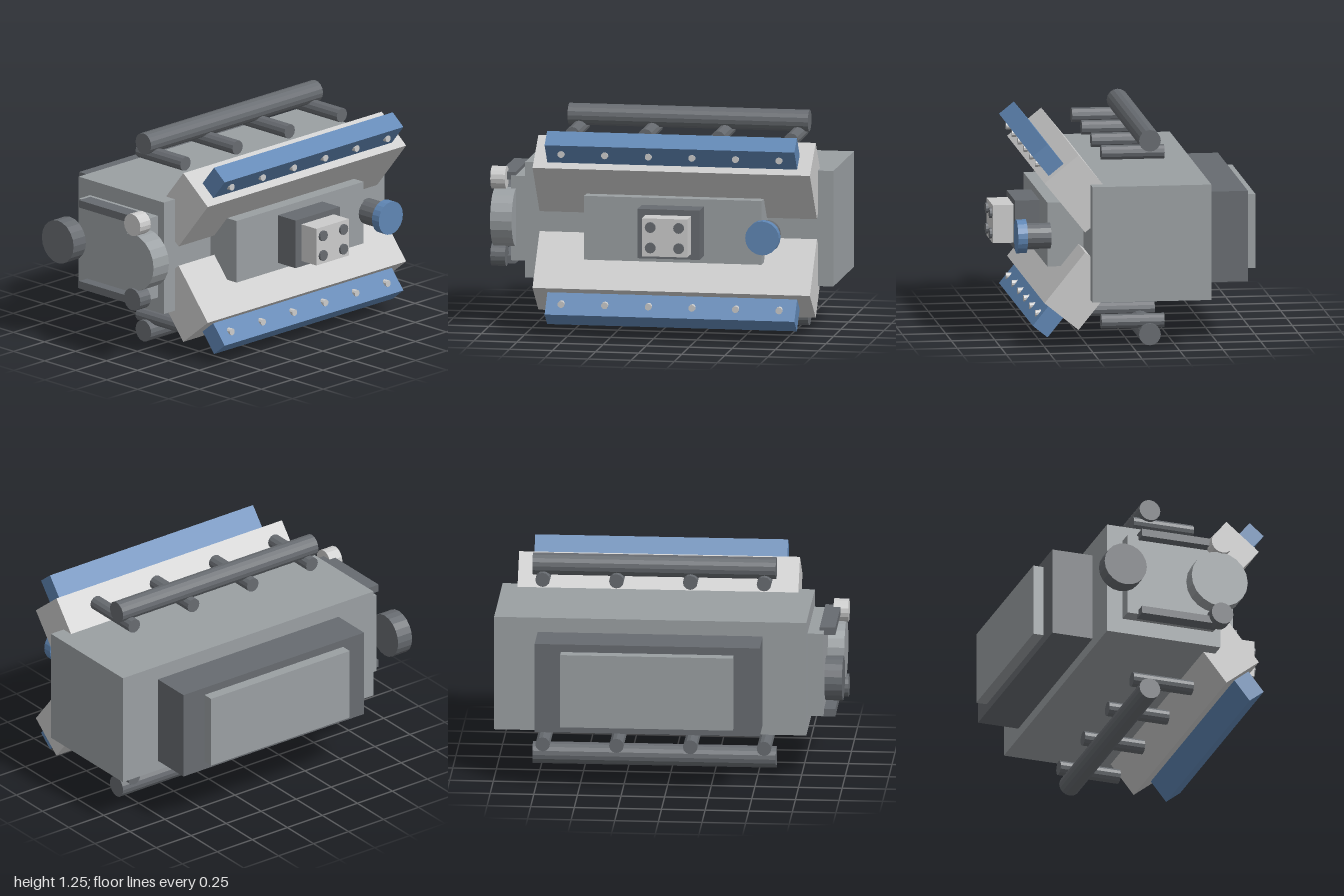
import * as THREE from 'three';

const material = (color) => new THREE.MeshStandardMaterial({ color, flatShading: true });

export function createModel() {
  const model = new THREE.Group();
  model.name = 'engine';
  const light = material(0xcccccc);
  const castIron = material(0x9a9fa2);
  const dark = material(0x676b70);
  const blue = material(0x5f86b4);
  const MID = 0.63; // height of the horizontal symmetry plane

  const add = (name, geometry, mat, x, y, z) => {
    const mesh = new THREE.Mesh(geometry, mat);
    mesh.name = name;
    mesh.position.set(x, y, z);
    model.add(mesh);
    return mesh;
  };
  // Box given by its limits on each axis
  const box = (name, mat, [x0, x1], [y0, y1], [z0, z1]) =>
    add(name, new THREE.BoxGeometry(x1 - x0, y1 - y0, z1 - z0), mat,
      (x0 + x1) / 2, (y0 + y1) / 2, (z0 + z1) / 2);
  // Cylinders along x and along z
  const rodX = (name, mat, r, x0, x1, y, z, sides = 16) =>
    add(name, new THREE.CylinderGeometry(r, r, x1 - x0, sides).rotateZ(Math.PI / 2), mat,
      (x0 + x1) / 2, y, z);
  const rodZ = (name, mat, r, x, y, z0, z1, sides = 12) =>
    add(name, new THREE.CylinderGeometry(r, r, z1 - z0, sides).rotateX(Math.PI / 2), mat,
      x, y, (z0 + z1) / 2);

  // Block and stepped oil pan
  box('engineBlock', castIron, [-0.79, 1], [0.295, 0.965], [-0.433, 0.253]);
  box('oilPan', dark, [-0.54, 0.75], [0.355, 0.88], [-0.677, -0.43]);
  box('oilPanSump', castIron, [-0.39, 0.6], [0.405, 0.835], [-0.74, -0.675]);

  // Two mirrored cylinder banks
  const tilt = 0.68;
  for (const s of [1, -1]) {
    const at = (y) => MID + s * (y - MID);
    add('cylinderHead', new THREE.BoxGeometry(1.61, 0.373, 0.253), light,
      0.105, at(0.9125), 0.3025).rotation.x = s * tilt;
    add('valveCover', new THREE.BoxGeometry(1.45, 0.148, 0.11), blue,
      0.105, at(1.098), 0.486).rotation.x = s * tilt;
    for (let i = 0; i < 6; i++) {
      rodZ('coverBolt', light, 0.02, -0.53 + i * 0.253, at(1.065), 0.5, 0.548, 10);
    }
    // Exhaust log with four runners
    rodX('exhaustManifold', dark, 0.063, -0.595, 0.8, at(1.192), -0.105);
    for (let i = 0; i < 4; i++) {
      rodZ('exhaustRunner', dark, 0.042, -0.53 + i * 0.423, at(1.12), -0.193, 0.17);
    }
    // Belt run beside the timing cover
    box('driveBelt', dark, [-0.945, -0.855], [at(0.873) - 0.022, at(0.873) + 0.022], [-0.275, 0.195]);
  }

  // Intake manifold, carburetor and its studs
  box('intakeManifold', castIron, [-0.41, 0.62], [0.445, 0.815], [0.25, 0.463]);
  box('carburetorBase', dark, [-0.075, 0.285], [0.487, 0.773], [0.46, 0.605]);
  box('carburetor', light, [-0.028, 0.235], [0.52, 0.74], [0.6, 0.726]);
  for (const x of [0.021, 0.186]) {
    for (const y of [0.571, 0.689]) rodZ('carburetorStud', dark, 0.031, x, y, 0.7, 0.74);
  }

  // Distributor
  rodZ('distributorBody', dark, 0.075, 0.655, MID, 0.453, 0.595, 16);
  rodZ('distributorCap', blue, 0.098, 0.655, MID, 0.592, 0.648, 20);

  // Timing cover and pulleys
  box('timingCover', castIron, [-0.88, -0.79], [0.385, 0.875], [-0.34, 0.207]);
  rodX('crankPulley', dark, 0.128, -1, -0.9, MID, -0.393, 20);
  rodX('waterPumpPulley', castIron, 0.17, -0.975, -0.85, 0.635, 0.185, 20);
  rodX('alternatorPulley', light, 0.066, -0.99, -0.905, 0.863, 0.197);
  rodX('idlerPulley', dark, 0.066, -0.99, -0.905, 0.415, 0.197);

  return model;
}
